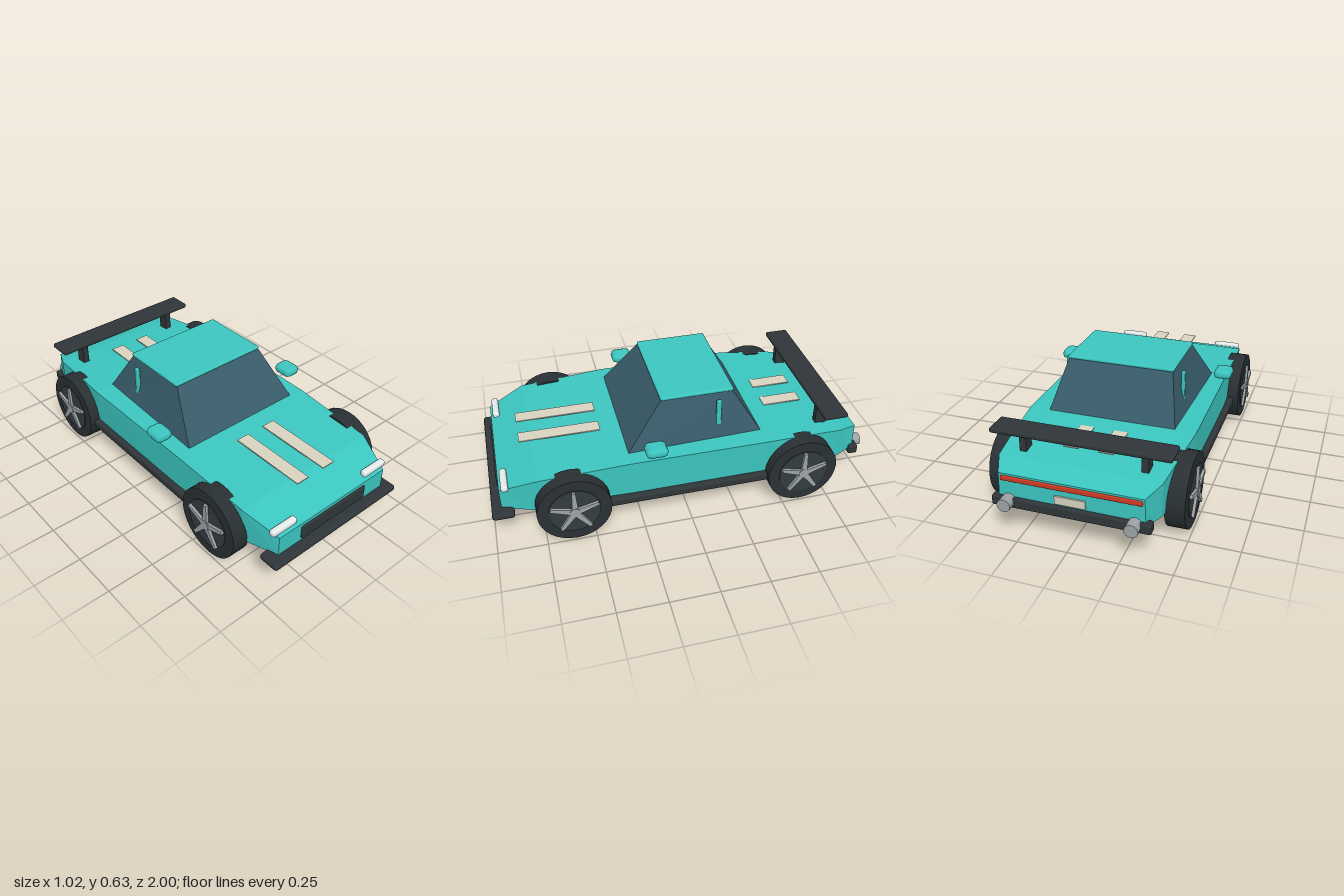
import * as THREE from 'three';
import { RoundedBoxGeometry } from 'three/addons/geometries/RoundedBoxGeometry.js';

const paint = (color, flatShading = false) => new THREE.MeshStandardMaterial({ color, flatShading });

// Joins rings of points (counter-clockwise seen from the last ring) into a closed solid
function loft(rings) {
  const n = rings[0].length;
  const index = [];
  for (let i = 0; i < rings.length - 1; i++) {
    for (let j = 0; j < n; j++) {
      const a = i * n + j, b = i * n + (j + 1) % n;
      index.push(a, b, b + n, a, b + n, a + n);
    }
  }
  const end = (rings.length - 1) * n;
  for (let j = 1; j < n - 1; j++) {
    index.push(0, j + 1, j, end, end + j, end + j + 1);
  }
  const geometry = new THREE.BufferGeometry();
  geometry.setAttribute('position', new THREE.Float32BufferAttribute(rings.flat(2), 3));
  geometry.setIndex(index);
  const flat = geometry.toNonIndexed();
  flat.computeVertexNormals();
  return flat;
}

export function createModel() {
  const car = new THREE.Group();
  car.name = 'sportsCar';

  const teal = paint(0x3cc6c0);
  const glass = paint(0x385c69);
  const dark = paint(0x2f3538);
  const rubber = paint(0x293033);
  const rimDark = paint(0x343c3f);
  const silver = paint(0x9da3a5);
  const white = paint(0xe6ebec);
  const cream = paint(0xd8d4c0);
  const red = paint(0xcc3a22);

  const add = (name, geometry, material, x = 0, y = 0, z = 0, parent = car) => {
    const mesh = new THREE.Mesh(geometry, material);
    mesh.name = name;
    mesh.position.set(x, y, z);
    parent.add(mesh);
    return mesh;
  };
  const box = (name, w, h, d, material, x, y, z) =>
    add(name, new THREE.BoxGeometry(w, h, d), material, x, y, z);
  const rounded = (name, w, h, d, r, material, x, y, z, segments = 2) =>
    add(name, new RoundedBoxGeometry(w, h, d, segments, r), material, x, y, z);

  // Body: z, bottom half width, top half width, bottom y, top y
  const sections = [
    [-0.94, 0.355, 0.35, 0.185, 0.322],
    [-0.83, 0.395, 0.40, 0.168, 0.347],
    [-0.68, 0.41, 0.415, 0.15, 0.362],
    [-0.40, 0.43, 0.44, 0.142, 0.382],
    [0.30, 0.43, 0.435, 0.142, 0.38],
    [0.76, 0.41, 0.42, 0.152, 0.353],
    [0.95, 0.36, 0.36, 0.17, 0.282],
  ];
  add('body', loft(sections.map(([z, b, t, y0, y1]) =>
    [[-b, y0, z], [b, y0, z], [t, y1, z], [-t, y1, z]])), teal);

  // Cabin glass and roof
  const rect = (y, front, back, zf, zb) =>
    [[-front, y, zf], [front, y, zf], [back, y, zb], [-back, y, zb]];
  add('cabinGlass', loft([
    rect(0.375, 0.353, 0.333, 0.30, -0.41),
    rect(0.62, 0.275, 0.275, 0.11, -0.26),
  ]), glass);
  rounded('roof', 0.56, 0.018, 0.38, 0.008, teal, 0, 0.625, -0.077);

  // Front bumper and grille
  rounded('frontBumper', 0.845, 0.034, 0.112, 0.015, dark, 0, 0.157, 0.944);
  rounded('grille', 0.435, 0.074, 0.02, 0.006, dark, 0, 0.226, 0.95);

  // Rear bumper, light bar and plate
  rounded('rearBumper', 0.77, 0.05, 0.05, 0.008, dark, 0, 0.18, -0.937);
  rounded('rearLightBar', 0.68, 0.026, 0.016, 0.006, red, 0, 0.299, -0.94);
  box('rearPlate', 0.15, 0.042, 0.012, cream, 0, 0.235, -0.942);

  // Rear wing
  rounded('wing', 0.88, 0.026, 0.128, 0.01, dark, 0, 0.47, -0.775);

  for (const s of [-1, 1]) {
    box('wingSupport', 0.034, 0.13, 0.06, dark, s * 0.3, 0.4, -0.75);
    rounded('headlight', 0.155, 0.036, 0.036, 0.014, white, s * 0.31, 0.302, 0.92);
    rounded('mirror', 0.096, 0.052, 0.112, 0.025, teal, s * 0.442, 0.452, 0.175, 1);
    rounded('cabinPillar', 0.02, 0.155, 0.026, 0.006, teal, s * 0.31, 0.515, -0.182);
    rounded('sideSill', 0.05, 0.045, 0.9, 0.012, dark, s * 0.437, 0.163, 0);
    box('hoodStripe', 0.074, 0.006, 0.42, cream, s * 0.087, 0.378, 0.61);
    box('rearStripe', 0.074, 0.006, 0.21, cream, s * 0.087, 0.375, -0.605);
    const exhaust = add('exhaust', new THREE.CylinderGeometry(0.033, 0.033, 0.08, 20),
      silver, s * 0.305, 0.187, -0.96);
    exhaust.rotation.x = Math.PI / 2;
  }

  // Wheels: built facing +y of an axle turned outward
  const radius = 0.187;
  const spokeShape = new THREE.Shape([
    [-0.017, 0], [0.017, 0], [0.009, 0.127], [-0.009, 0.127],
  ].map(([x, y]) => new THREE.Vector2(x, y)));
  const spokeGeometry = new THREE.ExtrudeGeometry(spokeShape, { depth: 0.02, bevelEnabled: false });

  for (const z of [0.6, -0.6]) {
    for (const s of [-1, 1]) {
      const wheel = new THREE.Group();
      wheel.name = z > 0 ? 'frontWheel' : 'rearWheel';
      wheel.position.set(s * 0.44, radius, z);
      wheel.rotation.y = s * Math.PI / 2;
      car.add(wheel);

      const disc = (name, r, width, material, out) => {
        const mesh = add(name, new THREE.CylinderGeometry(r, r, width, 32), material, 0, 0, out, wheel);
        mesh.rotation.x = Math.PI / 2;
      };
      disc('tyre', radius, 0.098, rubber, 0);
      disc('rim', 0.13, 0.012, rimDark, 0.048);
      disc('hubCap', 0.028, 0.02, silver, 0.06);
      for (let i = 0; i < 5; i++) {
        const spoke = add('spoke', spokeGeometry, silver, 0, 0, 0.048, wheel);
        spoke.rotation.z = i * Math.PI * 2 / 5;
      }
    }
  }
  return car;
}
